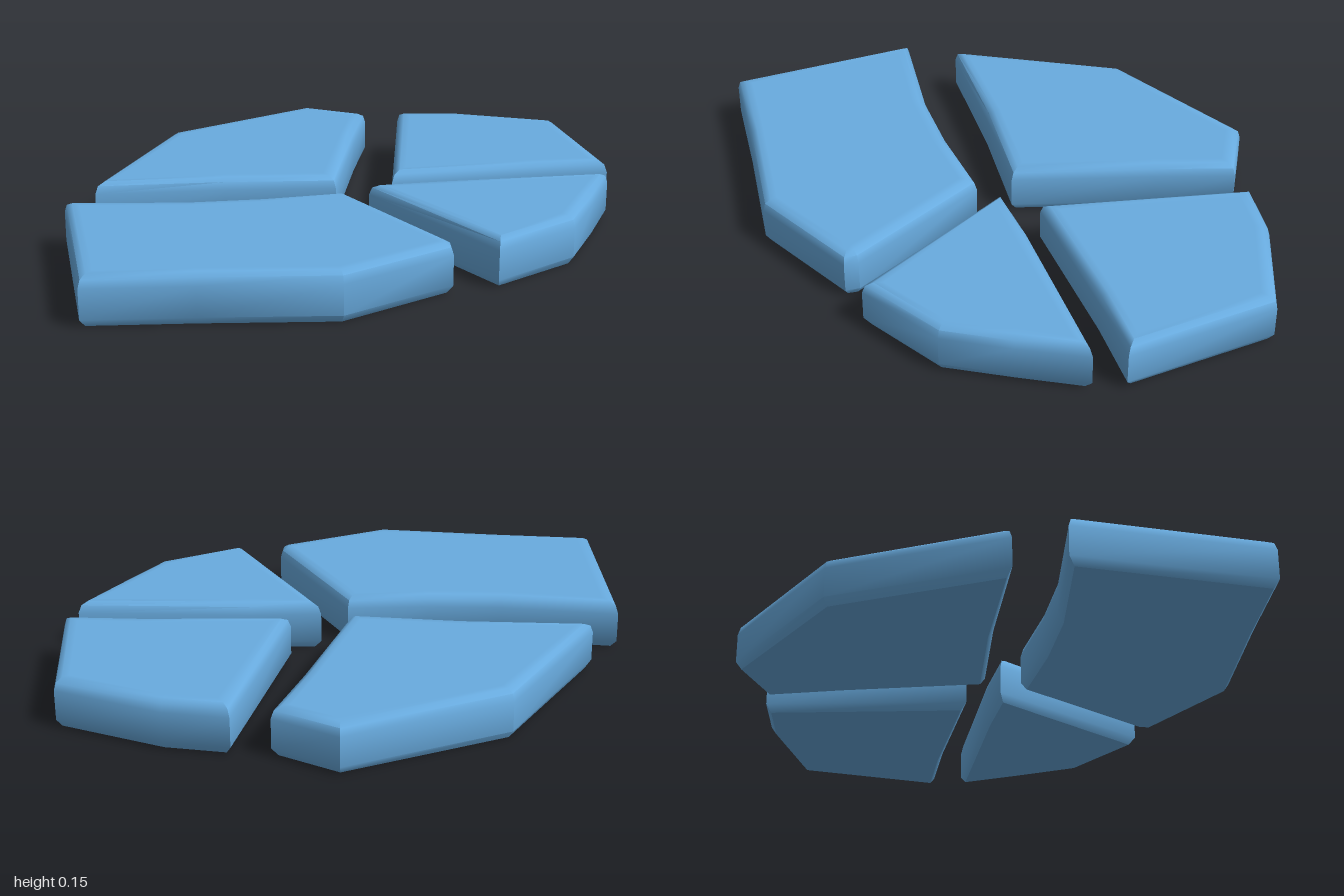
import * as THREE from 'three';
import { toCreasedNormals } from 'three/addons/utils/BufferGeometryUtils.js';

// Cross-section of a slab's rim, bottom to top: [height, inset from outline]
const RIM = [
  [0, 0.035], [0, 0.016], [0.024, 0], [0.115, 0], [0.139, 0.007], [0.15, 0.024], [0.15, 0.045],
];

// Slab outlines as [x, z]
const SLABS = {
  backSlab: [[0, -1], [0.425, -0.805], [0.3, -0.61], [0.07, -0.21], [-0.4, -0.645], [-0.275, -0.795]],
  leftSlab: [[0.49, -0.735], [0.6, -0.55], [0.7, -0.365], [0.69, -0.07], [0.105, -0.085], [0.205, -0.275]],
  frontSlab: [[0.105, 0.01], [0.6, 0.03], [0.635, 0.055], [0.6, 0.425], [0.36, 0.74], [0.175, 0.995],
    [-0.355, 0.715], [-0.13, 0.43], [-0.01, 0.235]],
  rightSlab: [[-0.46, -0.55], [-0.3, -0.365], [0, -0.04], [-0.205, 0.235], [-0.425, 0.565],
    [-0.705, 0.085], [-0.65, -0.44]],
};

// Inward mitre direction at each outline corner, limited at acute corners
function mitres(points) {
  const n = points.length;
  const inward = points.map((p, i) => {
    const d = points[(i + 1) % n].clone().sub(p).normalize();
    return new THREE.Vector2(-d.y, d.x);
  });
  return points.map((p, i) => {
    const a = inward[(i + n - 1) % n];
    const m = a.clone().add(inward[i]).normalize();
    return m.multiplyScalar(Math.min(1 / m.dot(a), 1.5));
  });
}

// Stack the inset outlines into a closed slab with softened rims
function slabGeometry(outline) {
  const points = outline.map(([x, z]) => new THREE.Vector2(x, z));
  const dirs = mitres(points);
  const n = points.length;
  const positions = [];
  const index = [];
  for (const [y, inset] of RIM) {
    points.forEach((p, i) => positions.push(p.x + dirs[i].x * inset, y, p.y + dirs[i].y * inset));
  }
  for (let r = 0; r < RIM.length - 1; r++) {
    for (let i = 0; i < n; i++) {
      const a = r * n + i;
      const b = r * n + (i + 1) % n;
      index.push(a, a + n, b, b, a + n, b + n);
    }
  }
  // Bottom and top caps
  const top = (RIM.length - 1) * n;
  for (const [a, b, c] of THREE.ShapeUtils.triangulateShape(points, [])) {
    index.push(a, b, c, top + a, top + c, top + b);
  }
  const geometry = new THREE.BufferGeometry();
  geometry.setAttribute('position', new THREE.Float32BufferAttribute(positions, 3));
  geometry.setIndex(index);
  return toCreasedNormals(geometry, 0.75);
}

export function createModel() {
  const group = new THREE.Group();
  group.name = 'pavingSlabs';
  const blueStone = new THREE.MeshStandardMaterial({ color: 0x69ace0 });
  blueStone.name = 'blue stone';
  for (const [name, outline] of Object.entries(SLABS)) {
    const slab = new THREE.Mesh(slabGeometry(outline), blueStone);
    slab.name = name;
    group.add(slab);
  }
  return group;
}
